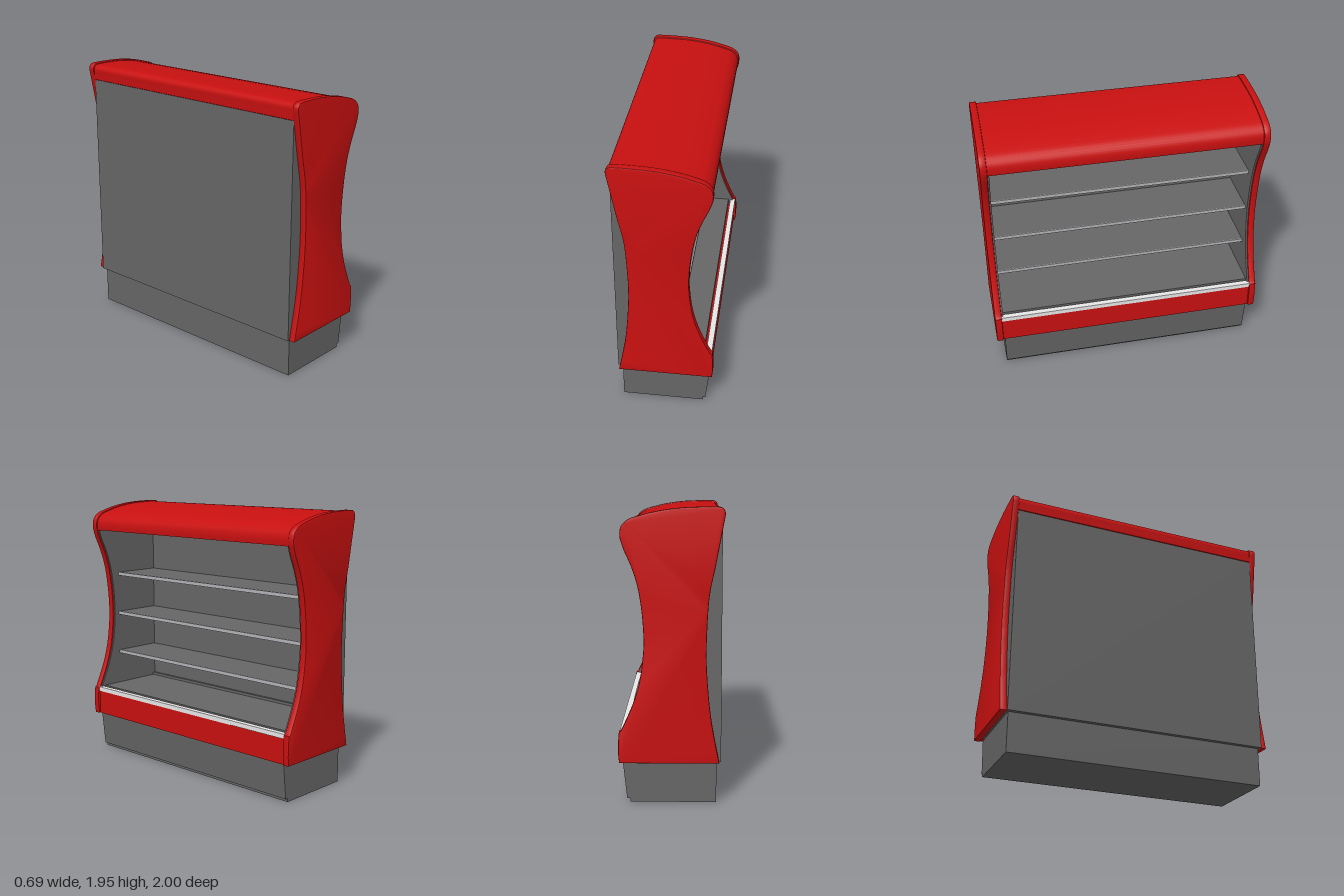
import * as THREE from 'three';
import { toCreasedNormals } from 'three/addons/utils/BufferGeometryUtils.js';

const material = (name, color) => {
  const m = new THREE.MeshStandardMaterial({ color });
  m.name = name;
  return m;
};
const v = (pts) => pts.map(([x, y]) => new THREE.Vector2(x, y));

// Curved outlines in the cross-section plane (x, y)
const FRONT = [[0.325, 0.5], [0.25, 0.67], [0.203, 0.83], [0.18, 1.0], [0.176, 1.12],
  [0.187, 1.28], [0.212, 1.44], [0.252, 1.57], [0.3, 1.68], [0.323, 1.75]];
const CROWN = [[0.323, 1.75], [0.325, 1.79], [0.315, 1.83], [0.285, 1.862], [0.24, 1.884],
  [0.1, 1.921], [-0.05, 1.943], [-0.2, 1.95], [-0.3, 1.95], [-0.33, 1.942], [-0.346, 1.918], [-0.345, 1.89]];
const BACK = [[-0.345, 1.89], [-0.315, 1.73], [-0.285, 1.57], [-0.25, 1.4], [-0.236, 1.22],
  [-0.23, 1.0], [-0.24, 0.8], [-0.265, 0.56], [-0.318, 0.28]];

const smooth = (pts, n) => new THREE.SplineCurve(v(pts)).getPoints(n);

export function createModel() {
  const group = new THREE.Group();
  const red = material('red paint', 0xc81010);
  const grey = material('grey metal', 0x666666);
  const silver = material('shelf edge silver', 0xb4b4b8);
  const white = material('bumper white', 0xf2f2f2);

  const add = (name, geometry, mat) => {
    const mesh = new THREE.Mesh(geometry, mat);
    mesh.name = name;
    group.add(mesh);
    return mesh;
  };
  // Box given by its limits
  const box = (name, mat, x0, x1, y0, y1, z0, z1) =>
    add(name, new THREE.BoxGeometry(x1 - x0, y1 - y0, z1 - z0), mat)
      .position.set((x0 + x1) / 2, (y0 + y1) / 2, (z0 + z1) / 2);
  // Cross-section swept along z, optionally with rounded rims
  const sweep = (name, mat, points, z0, z1, bevel = 0) => {
    const geometry = new THREE.ExtrudeGeometry(new THREE.Shape(points), {
      depth: z1 - z0 - 2 * bevel, bevelEnabled: bevel > 0, bevelSize: bevel,
      bevelThickness: bevel, bevelOffset: -bevel, bevelSegments: 2,
    });
    geometry.translate(0, 0, z0 + bevel);
    return add(name, toCreasedNormals(geometry, 0.6), mat);
  };

  // Curved end panels and the grey liners inside them
  const panel = [
    ...v([[0.34, 0.28], [0.346, 0.34], [0.346, 0.42], [0.34, 0.49]]),
    ...smooth(FRONT, 28), ...smooth(CROWN, 28).slice(1), ...smooth(BACK, 24).slice(1),
  ];
  const liner = [
    ...v([[-0.33, 0.28], [0.31, 0.28]]),
    ...smooth(FRONT.map(([x, y]) => [x - 0.012, y]), 28),
    ...v([[0.29, 1.8], [-0.33, 1.83]]),
  ];
  for (const side of [1, -1]) {
    const span = (a, b) => (side > 0 ? [a, b] : [-b, -a]);
    sweep('endPanel', red, panel, ...span(0.95, 1), 0.008);
    sweep('endLiner', grey, liner, ...span(0.938, 0.953));
  }

  // Rounded canopy, with its ceiling underneath
  const canopy = [
    ...smooth(CROWN.map(([x, y]) => [x * 0.975, y - 0.008]), 28),
    ...v([[-0.334, 1.83], [-0.26, 1.77], [0.3, 1.765]]),
  ];
  sweep('canopy', red, canopy, -0.952, 0.952);
  box('ceiling', grey, -0.27, 0.29, 1.757, 1.78, -0.94, 0.94);

  // Back wall, bottom deck and shelves
  box('backWall', grey, -0.33, -0.26, 0.28, 1.83, -0.945, 0.945);
  box('deck', grey, -0.27, 0.28, 0.28, 0.5, -0.94, 0.94);
  box('deckRiser', grey, -0.27, -0.24, 0.49, 0.52, -0.94, 0.94);
  for (const y of [0.755, 1.07, 1.385]) {
    box('shelf', grey, -0.27, 0.115, y - 0.012, y + 0.012, -0.94, 0.94);
    box('shelfEdge', silver, 0.115, 0.122, y - 0.013, y + 0.013, -0.94, 0.94);
  }

  // Front skirt topped by the bumper rail
  box('frontSkirt', red, 0.27, 0.328, 0.28, 0.462, -0.952, 0.952);
  box('bumperRail', white, 0.295, 0.335, 0.462, 0.495, -0.952, 0.952);

  // Plinth with slanted kick plate
  box('plinth', grey, -0.3, 0.272, 0, 0.285, -0.94, 0.94);
  sweep('kickPlate', grey, v([[0.26, 0.025], [0.292, 0.025], [0.32, 0.28], [0.26, 0.28]]), -0.94, 0.94);

  return group;
}
